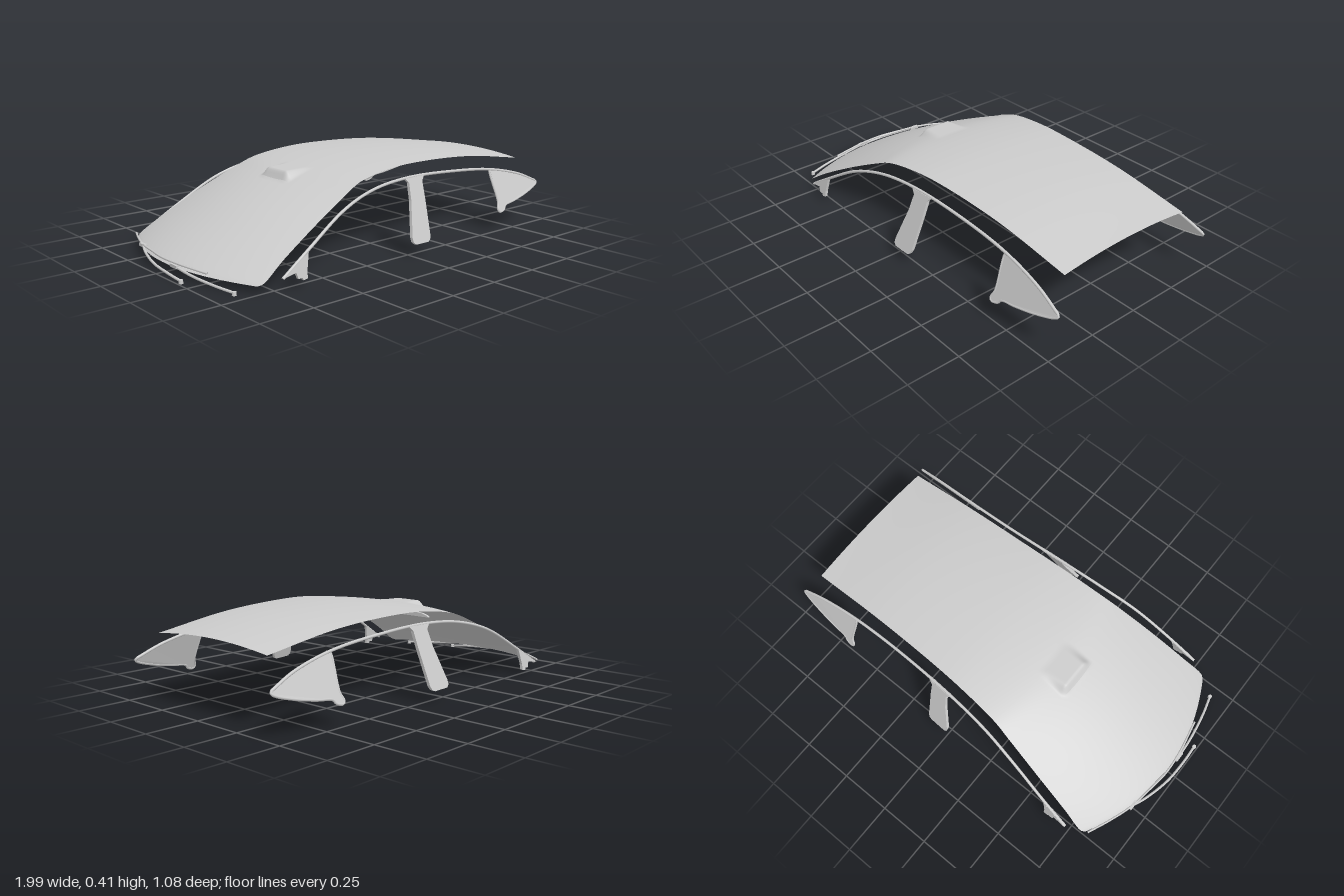
import * as THREE from 'three';

const mat = new THREE.MeshStandardMaterial({ color: 0xcccccc, side: THREE.DoubleSide, roughness: 0.6 });
const V = (p) => new THREE.Vector3(...p);
const spline = (pts) => new THREE.CatmullRomCurve3(pts.map(V));
const smooth = THREE.MathUtils.smoothstep;

// Canopy ribs from nose to tail: centre x, centre y, edge x, edge y, half width
const ribs = [
  [-0.95, 0.035, -0.82, 0.03, 0.485], [-0.925, 0.052, -0.80, 0.04, 0.498],
  [-0.80, 0.125, -0.69, 0.11, 0.482], [-0.58, 0.24, -0.48, 0.225, 0.45],
  [-0.38, 0.325, -0.30, 0.312, 0.42], [-0.24, 0.368, -0.20, 0.352, 0.403],
  [-0.02, 0.399, 0, 0.382, 0.386], [0.2, 0.407, 0.2, 0.387, 0.375],
  [0.55, 0.391, 0.55, 0.369, 0.365], [0.93, 0.338, 0.93, 0.314, 0.36],
];
const centreLine = spline(ribs.map((r) => [r[0], r[1], 0]));
const edgeLine = spline(ribs.map((r) => [r[2], r[3], r[4]]));

// Point on the canopy, with the raised sensor cowl pushed out of it
function canopyPoint(t, v) {
  const c = centreLine.getPoint(t), e = edgeLine.getPoint(t), k = 1 - v * v;
  const x = e.x + (c.x - e.x) * k, z = e.z * v;
  let y = e.y + (c.y - e.y) * k;
  const mask = smooth(x, -0.385, -0.35) * (1 - smooth(Math.abs(z), 0.065 , 0.11));
  if (x < -0.15) y += mask * Math.max(0, 0.369 + 0.03 * (x + 0.3) - y);
  return [x, y, z];
}

// Grid surface between two ribs
function canopyPanel(name, from, to, rows) {
  const cols = 100, pos = [], idx = [], n = ribs.length - 1;
  for (let i = 0; i <= rows; i++) {
    for (let j = 0; j <= cols; j++) {
      pos.push(...canopyPoint((from + (to - from) * i / rows) / n, (2 * j) / cols - 1));
      if (i < rows && j < cols) {
        const a = i * (cols + 1) + j, b = a + cols + 1;
        idx.push(a, a + 1, b, a + 1, b + 1, b);
      }
    }
  }
  const g = new THREE.BufferGeometry();
  g.setAttribute('position', new THREE.Float32BufferAttribute(pos, 3));
  g.setIndex(idx);
  g.computeVertexNormals();
  return part(name, g);
}

function part(name, geometry) {
  const m = new THREE.Mesh(geometry, mat);
  m.name = name;
  return m;
}

const tube = (name, pts, r, seg = 40) => part(name, new THREE.TubeGeometry(spline(pts), seg, r, 8));

// Side window arch, running nose to tail
const archPoints = [
  [-0.725, 0.055, 0.53], [-0.58, 0.145, 0.513], [-0.37, 0.263, 0.482], [-0.18, 0.318, 0.453],
  [0.05, 0.338, 0.432], [0.38, 0.324, 0.417], [0.65, 0.297, 0.418], [0.86, 0.25, 0.431], [0.985, 0.2, 0.445],
];
const arch = spline(archPoints);
function archAt(x) {
  let lo = 0, hi = 1;
  for (let i = 0; i < 24; i++) {
    const mid = (lo + hi) / 2;
    if (arch.getPoint(mid).x < x) lo = mid; else hi = mid;
  }
  return arch.getPoint(lo);
}

// Plate drawn in x and y, leaning outwards below the arch
function leaningPlate(name, outline, lean, depth) {
  const shape = new THREE.Shape(outline.map((p) => new THREE.Vector2(...p)));
  const g = new THREE.ExtrudeGeometry(shape, { depth, bevelEnabled: false });
  const p = g.attributes.position;
  for (let i = 0; i < p.count; i++) {
    const a = archAt(p.getX(i));
    p.setZ(i, p.getZ(i) - depth / 2 + a.z + lean * (a.y - p.getY(i)));
  }
  g.computeVertexNormals();
  return part(name, g);
}

function sideTrim(name) {
  const side = new THREE.Group();
  side.name = name;
  side.add(part('windowArch', new THREE.TubeGeometry(arch, 90, 0.007, 8)));

  // Middle pillar with a rounded foot
  side.add(leaningPlate('middlePillar', [
    [0.035, 0.337], [0.055, 0.315], [0.045, 0.24], [0.003, 0.085], [0.003, 0.065], [0.015, 0.053],
    [0.10, 0.05], [0.115, 0.057], [0.123, 0.075], [0.14, 0.24], [0.145, 0.315], [0.165, 0.337],
  ], 0.33, 0.016));

  // Rear quarter panel and its rim
  const top = [];
  for (let i = 0; i <= 14; i++) {
    const x = 0.65 + 0.335 * i / 14;
    top.push([x, archAt(x).y]);
  }
  const outline = [...top, [0.993, 0.19], [0.975, 0.178], [0.88, 0.15], [0.78, 0.13], [0.70, 0.117],
    [0.685, 0.10], [0.65, 0.093], [0.642, 0.105], [0.655, 0.14]];
  side.add(leaningPlate('rearQuarter', outline, 0.38, 0.008));
  const rim = outline.map(([x, y]) => {
    const a = archAt(x);
    return V([x, y, a.z + 0.38 * (a.y - y)]);
  });
  side.add(part('rearQuarterRim',
    new THREE.TubeGeometry(new THREE.CatmullRomCurve3(rim, true), 100, 0.006, 6, true)));

  // Small bracket at the front corner
  side.add(leaningPlate('frontCorner', [
    [-0.73, 0.055], [-0.665, 0.066], [-0.655, 0.038], [-0.635, 0.04], [-0.63, 0.028], [-0.608, 0.032],
    [-0.607, 0.06], [-0.59, 0.135], [-0.65, 0.105],
  ], 0.15, 0.014));
  return side;
}

function wiper(name, arm, blade) {
  const g = new THREE.Group();
  g.name = name;
  g.add(tube('arm', arm, 0.006), tube('blade', blade, 0.005));
  const pivot = part('pivot', new THREE.CylinderGeometry(0.009, 0.01, 0.016, 16));
  pivot.position.set(arm[0][0], 0.008, arm[0][2]);
  const clip = part('clip', new THREE.BoxGeometry(0.016, 0.014, 0.05));
  clip.position.set(...arm[arm.length - 1]);
  g.add(pivot, clip);
  return g;
}

export function createModel() {
  const model = new THREE.Group();
  model.name = 'canopy';

  // Glass and roof
  model.add(canopyPanel('windscreen', 0, 4, 70));
  model.add(canopyPanel('headerBand', 4, 5, 24));
  model.add(canopyPanel('roof', 5, 9, 50));

  // Inside mirror, a slim tapered blade under the glass
  const m = new THREE.Shape();
  m.moveTo(-0.088, 0);
  m.lineTo(0.088, 0);
  m.quadraticCurveTo(0.09, 0.008, 0.045, 0.018);
  m.quadraticCurveTo(0, 0.024, -0.045, 0.018);
  m.quadraticCurveTo(-0.09, 0.008, -0.088, 0);
  const mirror = part('insideMirror', new THREE.ExtrudeGeometry(m, { depth: 0.014, bevelEnabled: false }));
  mirror.rotation.y = Math.PI / 2;
  mirror.position.set(-0.42, 0.273, 0);
  model.add(mirror);

  // Side trims, mirrored across z
  const left = sideTrim('nearSideTrim'), right = sideTrim('farSideTrim');
  right.scale.z = -1;
  model.add(left, right);

  // Wipers lying along the foot of the windscreen
  model.add(wiper('outerWiper',
    [[-0.985, 0.01, 0.18], [-0.988, 0.02, 0.08], [-0.98, 0.03, -0.05], [-0.945, 0.045, -0.19], [-0.92, 0.055, -0.25]],
    [[-0.95, 0.055, -0.03], [-0.92, 0.058, -0.25], [-0.88, 0.055, -0.37], [-0.83, 0.045, -0.485]]));
  model.add(wiper('innerWiper',
    [[-0.90, 0.01, 0.44], [-0.925, 0.018, 0.34], [-0.947, 0.03, 0.2], [-0.955, 0.045, 0.08]],
    [[-0.915, 0.05, 0.27], [-0.945, 0.055, 0.1], [-0.952, 0.057, -0.03], [-0.935, 0.058, -0.16]]));
  return model;
}
